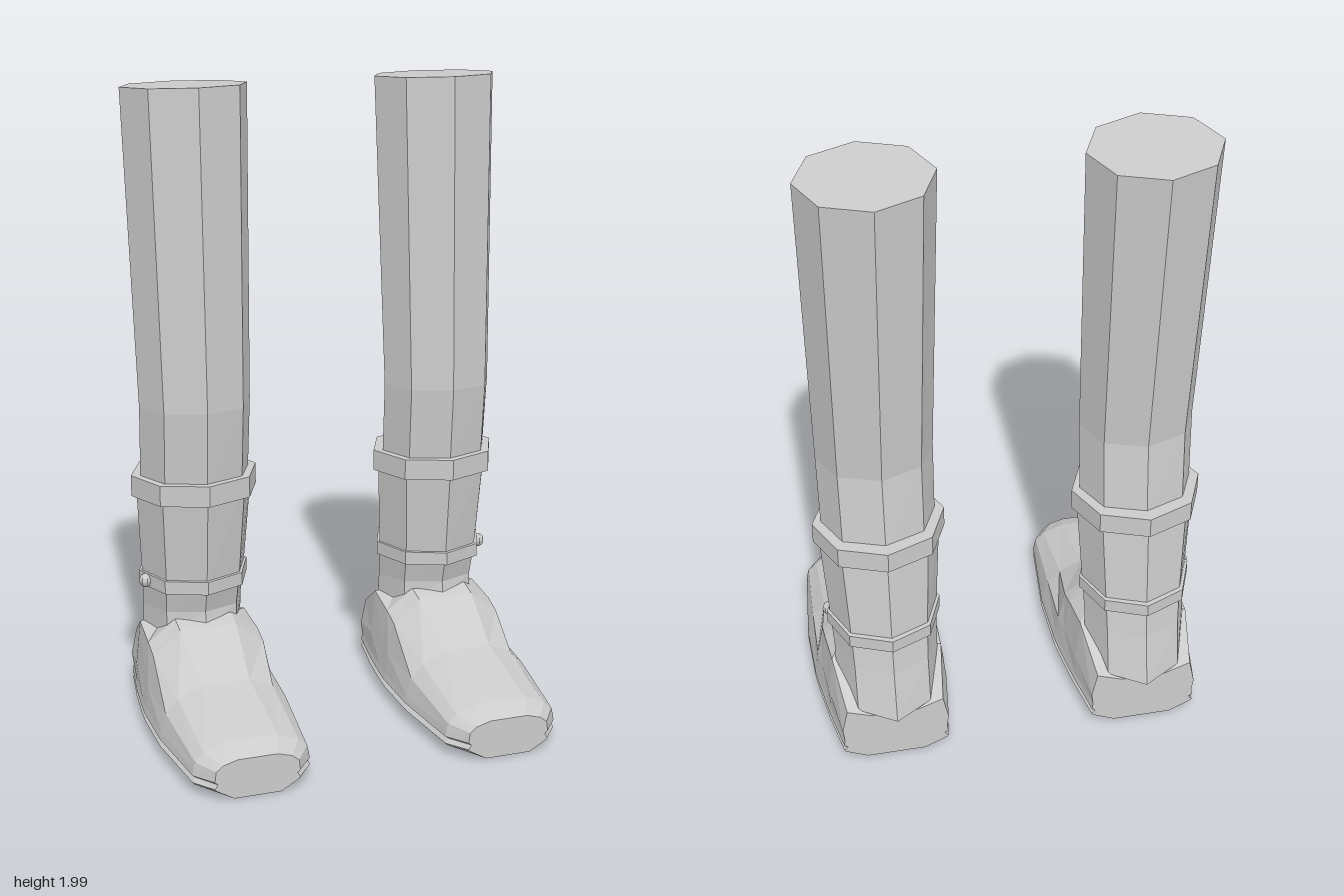
import * as THREE from 'three';

const material = new THREE.MeshStandardMaterial({ color: 0xcccccc, flatShading: true });

// Skin a list of closed rings of [x, y, z] and close both ends with fans
function loft(name, rings) {
  const n = rings[0].length;
  const points = rings.flat(2);
  const index = [];
  for (let i = 0; i < rings.length - 1; i++) {
    for (let j = 0; j < n; j++) {
      const a = i * n + j, b = i * n + (j + 1) % n;
      index.push(a, b, b + n, a, b + n, a + n);
    }
  }
  [0, rings.length - 1].forEach((r) => {
    const centre = points.length / 3;
    for (let k = 0; k < 3; k++) points.push(rings[r].reduce((s, p) => s + p[k], 0) / n);
    for (let j = 0; j < n; j++) {
      const a = r * n + j, b = r * n + (j + 1) % n;
      if (r === 0) index.push(centre, b, a);
      else index.push(centre, a, b);
    }
  });
  const geometry = new THREE.BufferGeometry();
  geometry.setAttribute('position', new THREE.Float32BufferAttribute(points, 3));
  geometry.setIndex(index);
  const flat = geometry.toNonIndexed();
  flat.computeVertexNormals();
  const mesh = new THREE.Mesh(flat, material);
  mesh.name = name;
  return mesh;
}

// Eight-sided ring; tilt raises the front and lowers the back
function octagon([y, z, rx, rz, tilt = 0]) {
  return Array.from({ length: 8 }, (_, i) => {
    const a = (i / 8) * Math.PI * 2;
    return [rx * Math.sin(a), y + tilt * Math.cos(a), z + rz * Math.cos(a)];
  });
}
const tube = (name, rows) => loft(name, rows.map(octagon));

// Foot slice: grooved sole, then side, shoulder and top of the upper
function footSlice([z, w, midX, midY, shoulderX, shoulderY, topX, topY]) {
  const half = [
    [w * 0.55, 0.008], [w * 0.97, 0.04], [w, 0.046], [w * 0.93, 0.06], [w, 0.068], [w * 0.98, 0.09],
    [midX, midY], [shoulderX, shoulderY], [topX, topY],
  ];
  const left = half.map(([x, y]) => [x, y, z]);
  const right = half.map(([x, y]) => [-x, y, z]).reverse();
  return [...left, ...right];
}

function makeLeg(side) {
  const leg = new THREE.Group();
  leg.name = side > 0 ? 'leftLeg' : 'rightLeg';

  // Leg, slightly bent
  leg.add(tube('shin', [
    [0.76, -0.2, 0.172, 0.15],
    [1.03, -0.175, 0.175, 0.145],
    [1.99, -0.23, 0.195, 0.17, 0.01],
  ]));

  // Boot shaft, reaching down behind the heel
  leg.add(tube('bootShaft', [
    [0.25, -0.27, 0.16, 0.18, 0.07],
    [0.36, -0.257, 0.16, 0.158, 0.01],
    [0.46, -0.237, 0.165, 0.162],
    [0.78, -0.205, 0.185, 0.162],
  ]));
  leg.add(tube('cuff', [[0.74, -0.205, 0.2, 0.184], [0.806, -0.205, 0.2, 0.184]]));
  leg.add(tube('ankleStrap', [[0.44, -0.237, 0.175, 0.177], [0.482, -0.237, 0.175, 0.177]]));

  // Button on the outer side of the strap
  const button = new THREE.Mesh(new THREE.SphereGeometry(0.022, 8, 6), material);
  button.name = 'strapButton';
  button.position.set(side * 0.163, 0.46, -0.2);
  leg.add(button);

  // Shoe, from heel to toe
  leg.add(loft('shoe', [
    [-0.41, 0.165, 0.167, 0.13, 0.15, 0.21, 0.07, 0.18],
    [-0.26, 0.19, 0.187, 0.16, 0.172, 0.3, 0.09, 0.31],
    [-0.13, 0.205, 0.193, 0.16, 0.178, 0.28, 0.09, 0.345],
    [-0.07, 0.21, 0.198, 0.16, 0.178, 0.26, 0.09, 0.33],
    [0.12, 0.21, 0.19, 0.15, 0.15, 0.19, 0.075, 0.225],
    [0.385, 0.18, 0.172, 0.11, 0.145, 0.135, 0.08, 0.16],
    [0.45, 0.13, 0.126, 0.1, 0.105, 0.117, 0.06, 0.13],
  ].map(footSlice)));

  leg.position.x = side * 0.397;
  return leg;
}

export function createModel() {
  const model = new THREE.Group();
  model.name = 'bootedLegs';
  for (const side of [1, -1]) model.add(makeLeg(side));
  return model;
}
